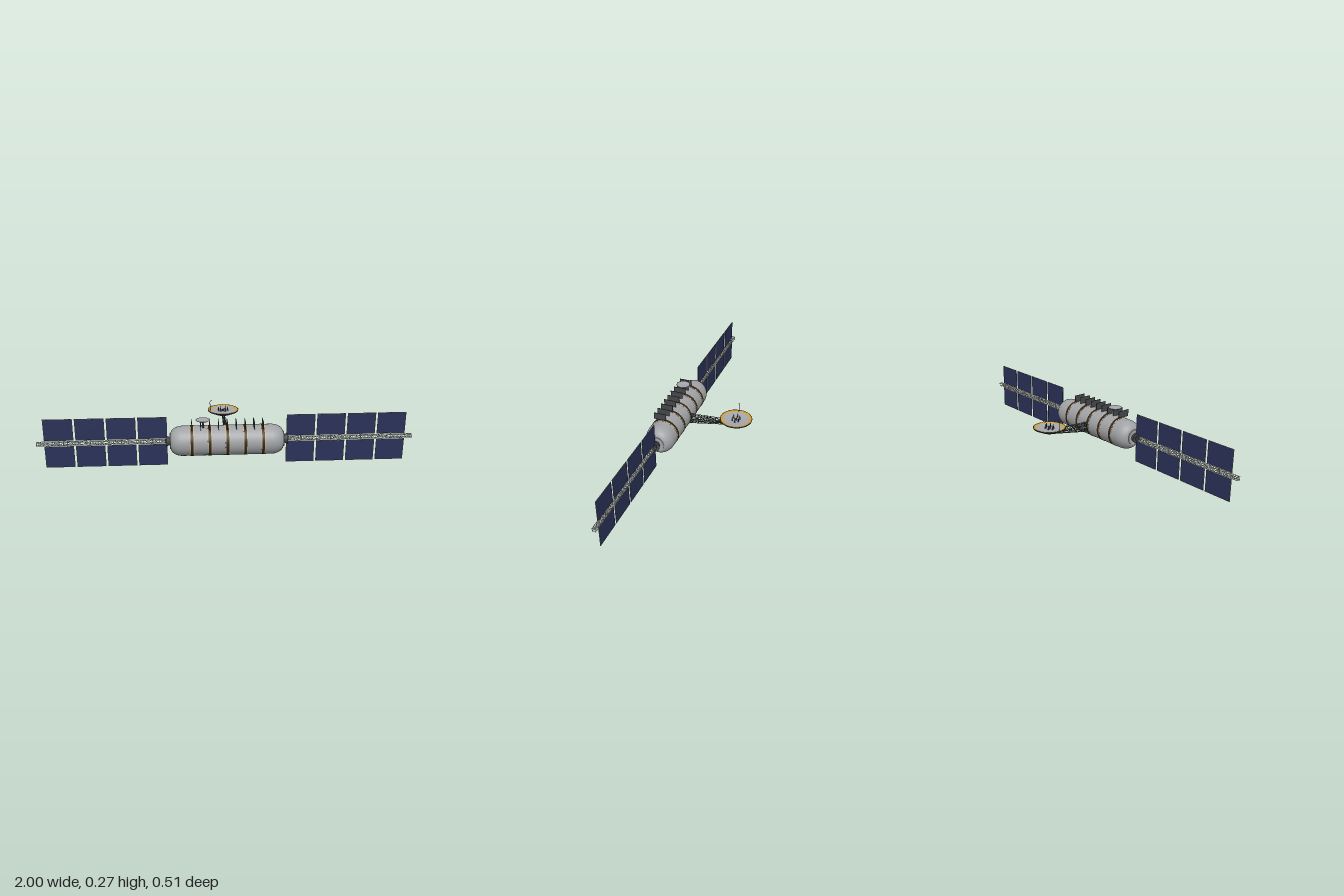
import * as THREE from 'three';
import { mergeGeometries } from 'three/addons/utils/BufferGeometryUtils.js';

const mat = (name, color, side = THREE.FrontSide) => {
  const m = new THREE.MeshStandardMaterial({ color, side });
  m.name = name;
  return m;
};

const V = (x, y, z) => new THREE.Vector3(x, y, z);
const CY = 0.135, CZ = 0.176;

// Thin square bar between two points
function bar(a, b, t) {
  const d = b.clone().sub(a);
  const g = new THREE.BoxGeometry(t, d.length(), t);
  g.applyQuaternion(new THREE.Quaternion().setFromUnitVectors(V(0, 1, 0), d.normalize()));
  return g.translate((a.x + b.x) / 2, (a.y + b.y) / 2, (a.z + b.z) / 2);
}

// Square lattice girder; u and v span its cross-section, the far end is scaled
function truss(a, b, u, v, bays, t, endScale = 1) {
  const corner = (k, i) => {
    const f = i / bays, s = 1 + (endScale - 1) * f;
    const [p, q] = [[1, 1], [1, -1], [-1, -1], [-1, 1]][k % 4];
    return a.clone().lerp(b, f).addScaledVector(u, p * s).addScaledVector(v, q * s);
  };
  const parts = [];
  for (let k = 0; k < 4; k++) {
    parts.push(bar(corner(k, 0), corner(k, bays), t));
    for (let i = 0; i <= bays; i++) {
      parts.push(bar(corner(k, i), corner(k + 1, i), t * 0.75));
      if (i < bays) parts.push(bar(corner(k + i % 2, i), corner(k + 1 - i % 2, i + 1), t * 0.75));
    }
  }
  return mergeGeometries(parts);
}

const lathe = (pts, n = 48) => new THREE.LatheGeometry(pts.map(p => new THREE.Vector2(p[0], p[1])), n);
const alongX = g => g.rotateZ(-Math.PI / 2);

export function createModel() {
  const group = new THREE.Group();
  const hullGrey = mat('hull grey', 0xa0a2a5);
  const dark = mat('dark metal', 0x454649);
  const black = mat('band black', 0x2b2b2d);
  const gold = mat('gold', 0xcfa03a);
  const tan = mat('tan trim', 0xc8a878);
  const blue = mat('solar blue', 0x2a3158);
  const frameGrey = mat('frame grey', 0xa3a19a);
  const trussGrey = mat('truss grey', 0xcccccc);
  const dishGrey = mat('dish grey', 0xa6a8ad, THREE.DoubleSide);

  const add = (name, geo, material, x = 0, y = 0, z = 0, parent = group) => {
    const m = new THREE.Mesh(geo, material);
    m.name = name;
    m.position.set(x, y, z);
    parent.add(m);
    return m;
  };

  // Hull: cylinder with rounded shoulders
  const half = [];
  for (let i = 0; i <= 10; i++) {
    const t = (i / 10) * Math.PI / 2;
    half.push([0.036 + 0.044 * Math.cos(t), 0.235 + 0.065 * Math.sin(t)]);
  }
  const hull = [[0, -0.3], ...half.map(p => [p[0], -p[1]]).reverse(), ...half, [0, 0.3]];
  add('hull', alongX(lathe(hull)), hullGrey, 0, CY, CZ);

  // Bands round the hull, dark with tan edges
  for (let i = -2; i <= 2; i++) {
    const x = i * 0.0935;
    add('hullBand', alongX(new THREE.CylinderGeometry(0.0815, 0.0815, 0.014, 48)), black, x, CY, CZ);
    for (const s of [-1, 1])
      add('bandTrim', alongX(new THREE.CylinderGeometry(0.081, 0.081, 0.005, 48)), tan, x + s * 0.0095, CY, CZ);
  }

  // Upright plates along the top
  for (let i = -4; i <= 4; i++)
    add('topPlate', new THREE.BoxGeometry(0.0025, 0.039, 0.07), dark, i * 0.0468, 0.2325, 0.2);

  // Small dish on top
  add('smallDishStem', new THREE.CylinderGeometry(0.004, 0.006, 0.048, 16), dark, -0.128, 0.228, 0.192);
  add('smallDish', lathe([[0, 0.249], [0.028, 0.25], [0.038, 0.256], [0.036, 0.257], [0, 0.253]], 32),
    dishGrey, -0.128, 0, 0.192);

  // Both wings: collar, hub, girder and solar panels
  for (const s of [-1, 1]) {
    const wing = new THREE.Group();
    wing.name = s > 0 ? 'leftWing' : 'rightWing';
    wing.position.set(0, CY, CZ);
    group.add(wing);
    add('collar', alongX(new THREE.CylinderGeometry(0.042, 0.042, 0.012, 36)), dishGrey, s * 0.297, 0, 0, wing);
    const r = s > 0 ? [0.028, 0.02] : [0.02, 0.028];
    add('hub', alongX(new THREE.CylinderGeometry(r[0], r[1], 0.022, 32)), dark, s * 0.311, 0, 0, wing);
    add('girderSocket', new THREE.BoxGeometry(0.012, 0.019, 0.019), dark, s * 0.323, 0, 0, wing);
    add('wingTruss', truss(V(s * 0.32, 0, 0), V(s * 0.999, 0, 0), V(0, 0.0085, 0), V(0, 0, 0.0085), 34, 0.0019),
      trussGrey, 0, 0, 0, wing);
    for (let i = 0; i < 4; i++) {
      const x = s * (0.393 + i * 0.1633);
      for (const v of [-1, 1]) {
        add('panelFrame', new THREE.BoxGeometry(0.153, 0.119, 0.002), frameGrey, x, v * 0.0755, 0, wing);
        add('solarPanel', new THREE.BoxGeometry(0.148, 0.114, 0.003), blue, x, v * 0.0755, 0, wing);
      }
      add('panelMount', new THREE.BoxGeometry(0.004, 0.034, 0.002), frameGrey, x, 0, 0, wing);
    }
  }

  // Two girders carrying the large dish
  add('upperBoom', truss(V(0, 0.143, 0.105), V(0, 0.161, -0.14), V(0.008, 0, 0), V(0, 0.0105, 0), 14, 0.002, 0.8),
    dark);
  add('lowerBoom', truss(V(0, 0.108, 0.105), V(0, 0.15, -0.15), V(0.008, 0, 0), V(0, 0.0075, 0), 14, 0.002, 0.6),
    dark);

  // Large dish: dark shell, pale shallow bowl, gold ring and rim studs
  const dish = new THREE.Group();
  dish.name = 'largeDish';
  dish.position.set(0, 0, -0.168);
  group.add(dish);
  add('dishShell', lathe([[0, 0.15], [0.018, 0.152], [0.045, 0.162], [0.07, 0.174], [0.087, 0.182], [0.088, 0.187],
    [0.086, 0.1875]]), dark, 0, 0, 0, dish);
  add('dishBowl', lathe([[0.072, 0.184], [0.04, 0.18], [0, 0.178]]), dishGrey, 0, 0, 0, dish);
  add('dishRing', lathe([[0.086, 0.1875], [0.072, 0.184]]), gold, 0, 0, 0, dish);
  for (let i = 0; i < 24; i++) {
    const a = (i / 24) * Math.PI * 2;
    add('rimStud', new THREE.BoxGeometry(0.003, 0.004, 0.003), dark,
      0.0865 * Math.cos(a), 0.187, 0.0865 * Math.sin(a), dish);
  }

  // Feed posts in the bowl
  for (let i = 0; i < 6; i++) {
    const a = (i / 6) * Math.PI * 2, x = 0.026 * Math.cos(a), z = 0.02 * Math.sin(a);
    add('feedPost', new THREE.CylinderGeometry(0.0013, 0.0025, 0.026, 8), dark, x, 0.19, z, dish);
    add('feedFoot', new THREE.BoxGeometry(0.008, 0.003, 0.007), dark, x, 0.181, z, dish);
  }
  add('feedHub', new THREE.CylinderGeometry(0.004, 0.006, 0.012, 12), dark, 0, 0.184, 0, dish);

  // Hooked mast at the rim
  const hook = new THREE.CatmullRomCurve3([V(-0.075, 0.18, 0.008), V(-0.075, 0.215, 0.008), V(-0.075, 0.236, 0.008),
    V(-0.071, 0.243, 0.008), V(-0.064, 0.244, 0.008)]);
  add('hookedMast', new THREE.TubeGeometry(hook, 20, 0.0015, 8), dark, 0, 0, 0, dish);

  return group;
}
